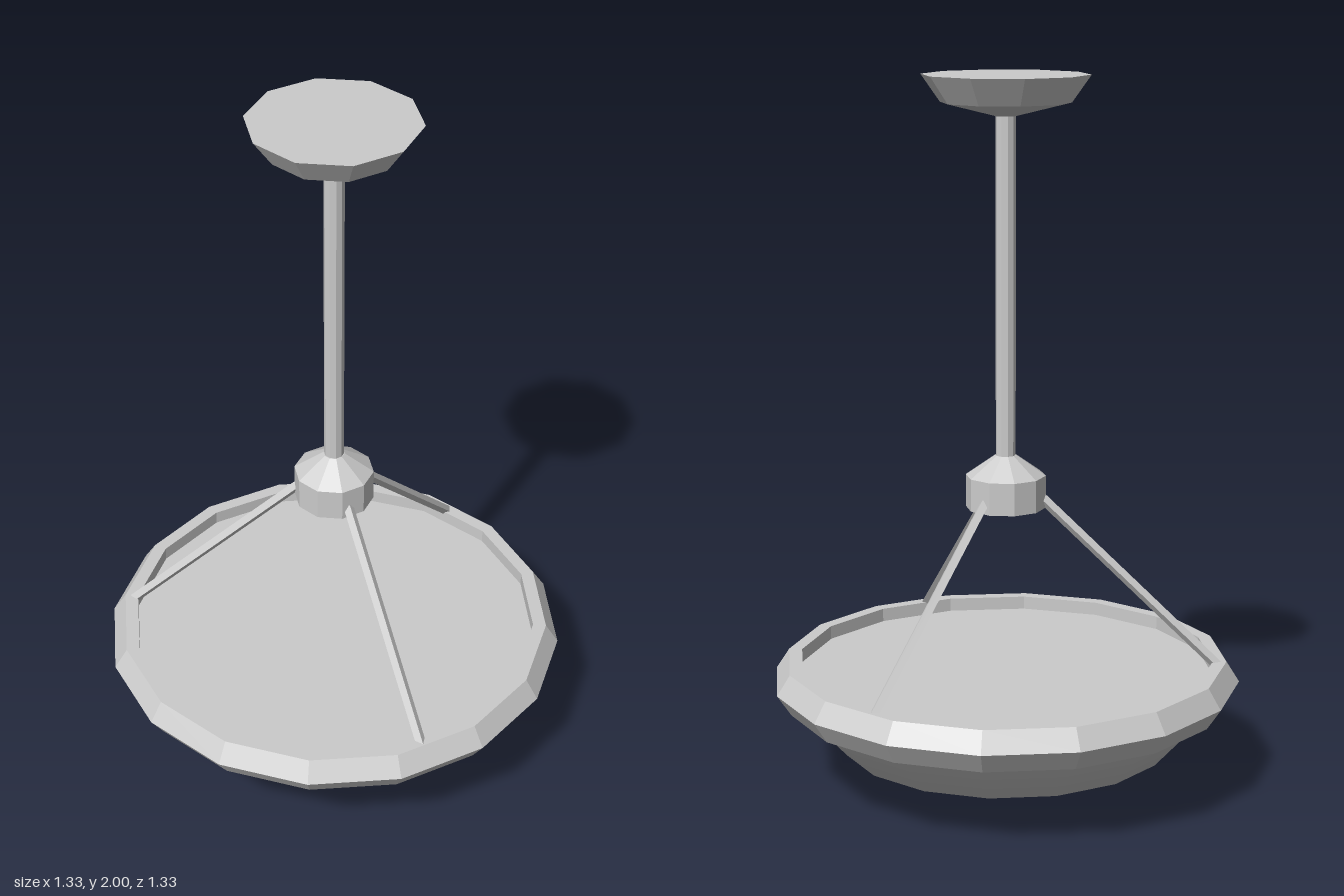
import * as THREE from 'three';

const flat = new THREE.MeshStandardMaterial({ color: 0xcccccc, flatShading: true });
const smooth = new THREE.MeshStandardMaterial({ color: 0xcccccc, side: THREE.DoubleSide });

// Turned part from [radius, y] pairs, listed from bottom to top, with a corner on the x axis
function turned(name, profile, sides, material = flat) {
  const points = profile.map(([r, y]) => new THREE.Vector2(r, y));
  const geometry = new THREE.LatheGeometry(points, sides).rotateY(Math.PI / 2);
  const mesh = new THREE.Mesh(geometry, material);
  mesh.name = name;
  return mesh;
}

// Thin square bar between two points
function bar(name, from, to, radius) {
  const dir = to.clone().sub(from);
  const mesh = new THREE.Mesh(new THREE.CylinderGeometry(radius, radius, dir.length(), 4), flat);
  mesh.position.copy(from).add(to).multiplyScalar(0.5);
  mesh.quaternion.setFromUnitVectors(new THREE.Vector3(0, 1, 0), dir.normalize());
  mesh.name = name;
  return mesh;
}

export function createModel() {
  const model = new THREE.Group();
  model.name = 'pendantLamp';

  // Ceiling mount, stem and hub
  model.add(
    turned('canopy', [[0, 1.885], [0.03, 1.888], [0.18, 1.925], [0.233, 2], [0, 2]], 10),
    turned('stem', [[0.028, 0.93], [0.028, 1.9]], 10),
    turned('hub', [[0, 0.795], [0.113, 0.795], [0.113, 0.887], [0.03, 0.945], [0, 0.945]], 10)
  );

  // Bevelled rim around the shade, closed on its inner side
  model.add(turned('rim', [
    [0.59, 0.235], [0.625, 0.24], [0.665, 0.3], [0.628, 0.357], [0.59, 0.357], [0.59, 0.235]
  ], 16));

  // Glass bowl and its flat lid
  model.add(
    turned('bowl', [[0, 0], [0.235, 0.027], [0.47, 0.107], [0.59, 0.24]], 16, smooth),
    turned('lid', [[0.59, 0.318], [0, 0.318]], 16)
  );

  // Three struts from the hub to the rim
  for (let i = 0; i < 3; i++) {
    const arm = new THREE.Group();
    arm.name = 'strut' + (i + 1);
    arm.add(bar('strutBar', new THREE.Vector3(-0.1, 0.825, 0), new THREE.Vector3(-0.602, 0.347, 0), 0.015));
    arm.rotation.y = (i * 2 * Math.PI) / 3;
    model.add(arm);
  }
  return model;
}
